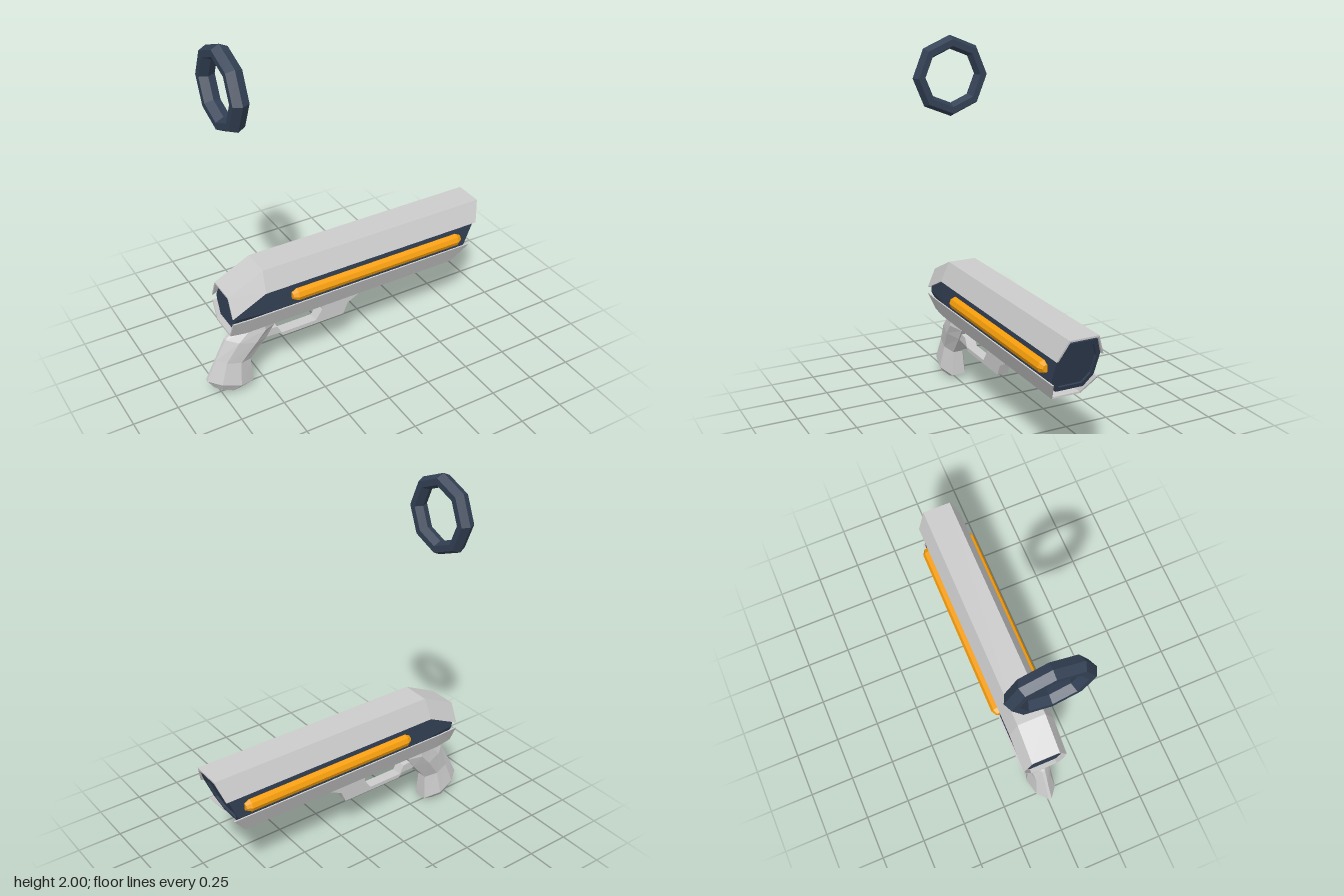
import * as THREE from 'three';

const mat = (color) => new THREE.MeshStandardMaterial({ color, flatShading: true });

// Skin a list of equal-length rings (counter-clockwise about the advance direction).
// Caps join point i to its mirror n-1-i, so they suit convex and channel sections alike.
function loft(rings) {
  const n = rings[0].length, pos = [];
  const quad = (a, b, c, d) => [a, b, c, a, c, d].forEach((p) => pos.push(...p));
  for (let k = 0; k < rings.length - 1; k++) {
    const r = rings[k], s = rings[k + 1];
    for (let i = 0; i < n; i++) {
      const j = (i + 1) % n;
      quad(r[i], r[j], s[j], s[i]);
    }
  }
  const first = rings[0], last = rings[rings.length - 1];
  for (let i = 0; i < n / 2 - 1; i++) {
    quad(last[i], last[i + 1], last[n - 2 - i], last[n - 1 - i]);
    quad(first[n - 1 - i], first[n - 2 - i], first[i + 1], first[i]);
  }
  const g = new THREE.BufferGeometry();
  g.setAttribute('position', new THREE.Float32BufferAttribute(pos, 3));
  g.computeVertexNormals();
  return g;
}

// Thin channel section: flat web plus two flaring flanges; s = 1 opens down, -1 opens up
function channel(s, [xWeb, yWeb], [xEdge, yEdge]) {
  const t = 0.009, zWeb = 0.08, zEdge = 0.127;
  const outer = [[xEdge, yEdge, -s * zEdge], [xWeb, yWeb, -s * zWeb]];
  const inner = [[xWeb, yWeb - s * t, -s * (zWeb - t / 2)], [xEdge, yEdge, -s * (zEdge - t)]];
  const flip = ([x, y, z]) => [x, y, -z];
  return [
    ...outer, flip(outer[1]), flip(outer[0]),
    flip(inner[1]), flip(inner[0]), ...inner,
  ];
}

// Octagonal core section; xAt gives the slant of the section plane
function octagon(yTop, yHigh, yLow, yBottom, zSide, zFlat, xAt) {
  const half = [[yTop, zFlat], [yHigh, zSide], [yLow, zSide], [yBottom, zFlat]];
  const other = half.map(([y, z]) => [y, -z]).reverse();
  return [...half, ...other].map(([y, z]) => [xAt(y), y, z]);
}

// Grip section between a rear and a front point, w = half width
function gripRing([xr, yr], [xf, yf], w) {
  const side = [[0, 0.12], [0.25, 0.75], [0.65, 1], [1, 0.5]];
  const at = ([s, k], sign) => [xr + (xf - xr) * s, yr + (yf - yr) * s, sign * k * w];
  return [...side.map((p) => at(p, -1)), ...side.map((p) => at(p, 1)).reverse()];
}

// Eight-sided turned part lying along x
function turned(profile) {
  const g = new THREE.LatheGeometry(profile.map(([r, x]) => new THREE.Vector2(r, x)), 8);
  return g.rotateZ(-Math.PI / 2);
}

export function createModel() {
  const model = new THREE.Group();
  model.name = 'blaster';
  const grey = mat(0xcccccc), dark = mat(0x334155), orange = mat(0xf59e0b);
  const add = (name, geometry, material, x = 0, y = 0, z = 0) => {
    const mesh = new THREE.Mesh(geometry, material);
    mesh.name = name;
    mesh.position.set(x, y, z);
    model.add(mesh);
  };

  // Folded shells above and below the core
  add('upperShell', loft([
    channel(1, [-0.71, 0.66], [-0.71, 0.552]),
    channel(1, [-0.51, 0.757], [-0.52, 0.645]),
    channel(1, [0.825, 0.757], [0.79, 0.645]),
  ]), grey);
  add('lowerShell', loft([
    channel(-1, [-0.71, 0.415], [-0.71, 0.518]),
    channel(-1, [-0.62, 0.4], [-0.6, 0.513]),
    channel(-1, [0.665, 0.4], [0.752, 0.513]),
  ]), grey);

  // Dark core with a slanted, recessed muzzle
  const slant = (offset) => (y) => 0.777 + 0.42 * (y - 0.645) + offset;
  add('core', loft([
    octagon(0.625, 0.56, 0.53, 0.45, 0.112, 0.075, () => -0.69),
    octagon(0.738, 0.645, 0.515, 0.45, 0.117, 0.076, () => -0.51),
    octagon(0.738, 0.645, 0.515, 0.45, 0.117, 0.076, slant(0)),
    octagon(0.71, 0.635, 0.527, 0.474, 0.098, 0.064, slant(0)),
    octagon(0.71, 0.635, 0.527, 0.474, 0.098, 0.064, slant(-0.015)),
  ]), dark);

  // Glowing rods along both sides
  const rod = [[0, -0.527], [0.02, -0.527], [0.035, -0.5], [0.035, 0.5], [0.02, 0.527], [0, 0.527]];
  for (const s of [1, -1]) {
    add(s > 0 ? 'leftRod' : 'rightRod', turned(rod), orange, 0.158, 0.575, s * 0.122);
  }

  // Curved, waisted grip
  add('grip', loft([
    gripRing([-0.62, 0.455], [-0.44, 0.44], 0.074),
    gripRing([-0.635, 0.405], [-0.44, 0.36], 0.08),
    gripRing([-0.71, 0.34], [-0.484, 0.294], 0.077),
    gripRing([-0.772, 0.225], [-0.58, 0.177], 0.057),
    gripRing([-0.828, 0.11], [-0.574, 0.034], 0.078),
    gripRing([-0.79, 0.05], [-0.648, 0.0], 0.045),
  ]), grey);

  // Trigger guard with its front block
  const guard = new THREE.Shape([
    [-0.5, 0.285], [-0.405, 0.28], [-0.38, 0.255], [-0.008, 0.255], [0.02, 0.32],
    [0.093, 0.357], [0.093, 0.405], [-0.14, 0.405], [-0.14, 0.335], [-0.18, 0.277],
    [-0.39, 0.277], [-0.415, 0.325], [-0.5, 0.335],
  ].map(([x, y]) => new THREE.Vector2(x, y)));
  add('triggerGuard', new THREE.ExtrudeGeometry(guard, { depth: 0.06, bevelEnabled: false }),
    grey, 0, 0, -0.03);

  // Floating faceted ring
  add('ring', turned([
    [0.147, 0], [0.166, -0.042], [0.202, -0.042], [0.222, 0],
    [0.202, 0.042], [0.166, 0.042], [0.147, 0],
  ]), dark, -0.637, 1.778, 0);

  return model;
}
